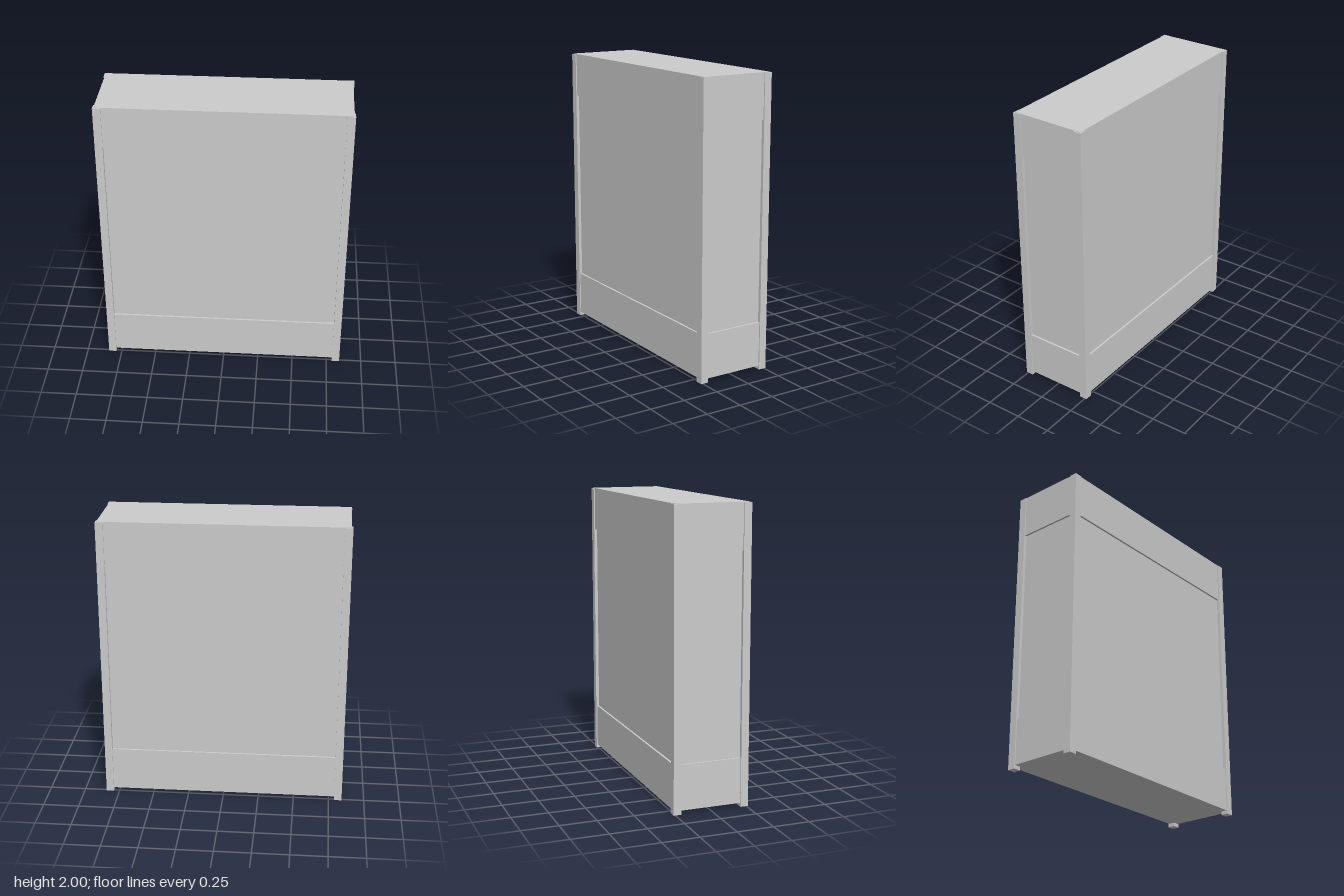
import * as THREE from 'three';

export function createModel() {
  const model = new THREE.Group();
  const material = new THREE.MeshStandardMaterial({ color: 0xcccccc, flatShading: true });

  // Box spanning y0..y1, centred on (x, z)
  const box = (name, w, d, y0, y1, x = 0, z = 0) => {
    const mesh = new THREE.Mesh(new THREE.BoxGeometry(w, y1 - y0, d), material);
    mesh.position.set(x, (y0 + y1) / 2, z);
    mesh.name = name;
    model.add(mesh);
  };

  const halfX = 0.843, halfZ = 0.263;   // outer faces of the posts
  const post = 0.053;                   // post thickness
  const inset = 0.008;                  // bands sit behind the post faces
  const recess = 0.014;                 // panels sit behind the bands
  const bandW = 2 * (halfX - inset), bandD = 2 * (halfZ - inset);

  // Solid bands at the foot and the head, with the recessed panels between
  box('lowerBand', bandW, bandD, 0.025, 0.333);
  box('recessedPanels', bandW - 2 * recess, bandD - 2 * recess, 0.333, 1.695);
  box('upperBand', bandW, bandD, 1.695, 2);

  // Corner posts, reaching the floor as short feet
  for (const sx of [-1, 1]) {
    for (const sz of [-1, 1]) {
      box('cornerPost', post, post, 0, 1.997,
        sx * (halfX - post / 2), sz * (halfZ - post / 2));
    }
  }
  return model;
}
